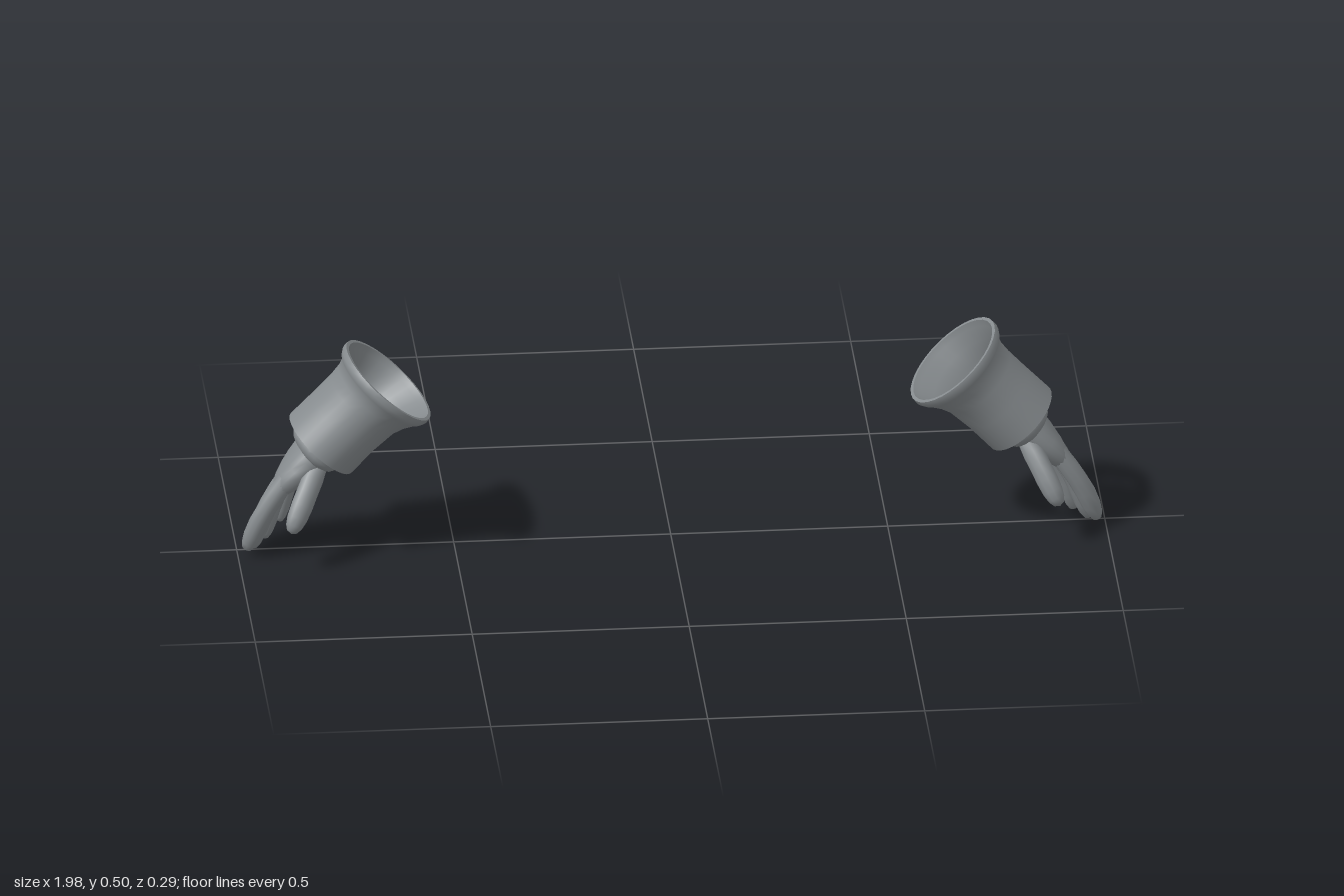
import * as THREE from 'three';
import { toCreasedNormals } from 'three/addons/utils/BufferGeometryUtils.js';

const ACROSS = new THREE.Vector3(0.76, 0.65, 0); // back of hand side
const ALONG = new THREE.Vector3(0.65, -0.76, 0); // forearm direction
const SHOULDER = new THREE.Vector3(0.65, 0.417, -0.002); // centre of the cuff opening

// Skin between elliptical rings {c, u, v}; power below 1 squares the ring off
function loft(rings, sides, { closed = false, power = 1, crease = 0.75 } = {}) {
  const pos = [], index = [];
  const bend = (s) => Math.sign(s) * Math.pow(Math.abs(s), power);
  for (const { c, u, v } of rings) {
    for (let j = 0; j < sides; j++) {
      const a = (j / sides) * Math.PI * 2;
      const p = c.clone().addScaledVector(u, bend(Math.cos(a))).addScaledVector(v, bend(Math.sin(a)));
      pos.push(p.x, p.y, p.z);
    }
  }
  const spans = closed ? rings.length : rings.length - 1;
  for (let i = 0; i < spans; i++) {
    const n = (i + 1) % rings.length;
    for (let j = 0; j < sides; j++) {
      const k = (j + 1) % sides;
      const a = i * sides + j, b = i * sides + k, c = n * sides + j, d = n * sides + k;
      index.push(a, b, c, b, d, c);
    }
  }
  const g = new THREE.BufferGeometry();
  g.setAttribute('position', new THREE.Float32BufferAttribute(pos, 3));
  g.setIndex(index);
  return toCreasedNormals(g, crease);
}

// Ring square to the forearm: distance, inner edge, outer edge, half depth
function armRing([d, lo, hi, depth]) {
  return {
    c: SHOULDER.clone().addScaledVector(ALONG, d).addScaledVector(ACROSS, (lo + hi) / 2),
    u: ACROSS.clone().multiplyScalar((hi - lo) / 2),
    v: new THREE.Vector3(0, 0, depth),
  };
}

// Rounded finger along a curve through the given points
function finger(points, radius) {
  const curve = new THREE.CatmullRomCurve3(points.map((p) => new THREE.Vector3(...p)));
  const shape = [[0, 0.9], [0.2, 1], [0.4, 0.98], [0.6, 1], [0.78, 0.93], [0.9, 0.75], [0.97, 0.48], [1, 0]];
  const rings = shape.map(([t, s]) => {
    const w = curve.getTangentAt(t);
    const u = ACROSS.clone().addScaledVector(w, -ACROSS.dot(w)).normalize();
    const v = w.clone().cross(u);
    return { c: curve.getPointAt(t), u: u.multiplyScalar(radius * s), v: v.multiplyScalar(radius * s) };
  });
  return loft(rings, 10, { crease: 1.2 });
}

function buildGlove(material, name) {
  const glove = new THREE.Group();
  glove.name = name;
  const add = (partName, geometry) => {
    const mesh = new THREE.Mesh(geometry, material);
    mesh.name = partName;
    glove.add(mesh);
  };

  // Flared cuff: rolled lip, outer wall, then the lining back up
  const cuff = [
    [0, -0.127, 0.127, 0.14], [0.012, -0.128, 0.128, 0.142], [0.024, -0.121, 0.121, 0.136],
    [0.03, -0.115, 0.113, 0.129], [0.052, -0.1, 0.107, 0.12], [0.08, -0.088, 0.106, 0.114],
    [0.14, -0.08, 0.109, 0.112], [0.217, -0.076, 0.114, 0.115],
    [0.217, -0.068, 0.106, 0.107], [0.14, -0.071, 0.1, 0.103], [0.08, -0.079, 0.097, 0.105],
    [0.045, -0.094, 0.099, 0.113], [0.015, -0.112, 0.113, 0.127], [0, -0.119, 0.119, 0.132],
  ];
  add('cuff', loft(cuff.map(armRing), 32, { closed: true }));

  // Puffed band at the wrist, open towards the arm
  const band = [
    [0.165, -0.045, 0.08, 0.082], [0.195, -0.048, 0.084, 0.087], [0.215, -0.049, 0.09, 0.094],
    [0.23, -0.046, 0.09, 0.094], [0.243, -0.038, 0.08, 0.086], [0.25, -0.022, 0.062, 0.07],
  ];
  add('wristBand', loft(band.map(armRing), 24));

  // Palm: centre x, y, z, half thickness, half width, lean of the little-finger side
  const palm = [
    [0.808, 0.264, -0.002, 0.046, 0.072, 0], [0.83, 0.237, 0, 0.044, 0.072, 0.05],
    [0.852, 0.213, -0.002, 0.04, 0.075, 0.12], [0.873, 0.188, -0.008, 0.034, 0.075, 0.2],
    [0.889, 0.168, -0.014, 0.027, 0.073, 0.26], [0.898, 0.155, -0.016, 0.017, 0.066, 0.28],
    [0.902, 0.149, -0.016, 0, 0, 0],
  ];
  add('palm', loft(palm.map(([x, y, z, thick, wide, lean]) => ({
    c: new THREE.Vector3(x, y, z),
    u: ACROSS.clone().multiplyScalar(thick),
    v: new THREE.Vector3(lean * wide, 0, wide),
  })), 20, { power: 0.85, crease: 1 }));

  // Fingers and thumb
  add('indexFinger', finger([[0.888, 0.195, 0.04], [0.945, 0.105, 0.043], [0.982, 0.016, 0.034]], 0.0235));
  add('middleFinger', finger([[0.884, 0.19, 0], [0.935, 0.095, -0.002], [0.966, 0.002, -0.006]], 0.0235));
  add('ringFinger', finger([[0.872, 0.185, -0.038], [0.913, 0.095, -0.045], [0.934, 0.005, -0.05]], 0.022));
  add('littleFinger', finger([[0.853, 0.18, -0.066], [0.88, 0.105, -0.079], [0.896, 0.03, -0.086]], 0.0185));
  add('thumb', finger([[0.818, 0.228, 0.045], [0.85, 0.17, 0.092], [0.886, 0.1, 0.133]], 0.026));
  return glove;
}

export function createModel() {
  const grey = new THREE.MeshStandardMaterial({ color: 0x868b8e, side: THREE.DoubleSide });
  grey.name = 'grey';
  const model = new THREE.Group();
  model.name = 'gloves';
  const left = buildGlove(grey, 'leftGlove');
  const right = buildGlove(grey, 'rightGlove');
  right.scale.x = -1;
  model.add(left, right);
  return model;
}
